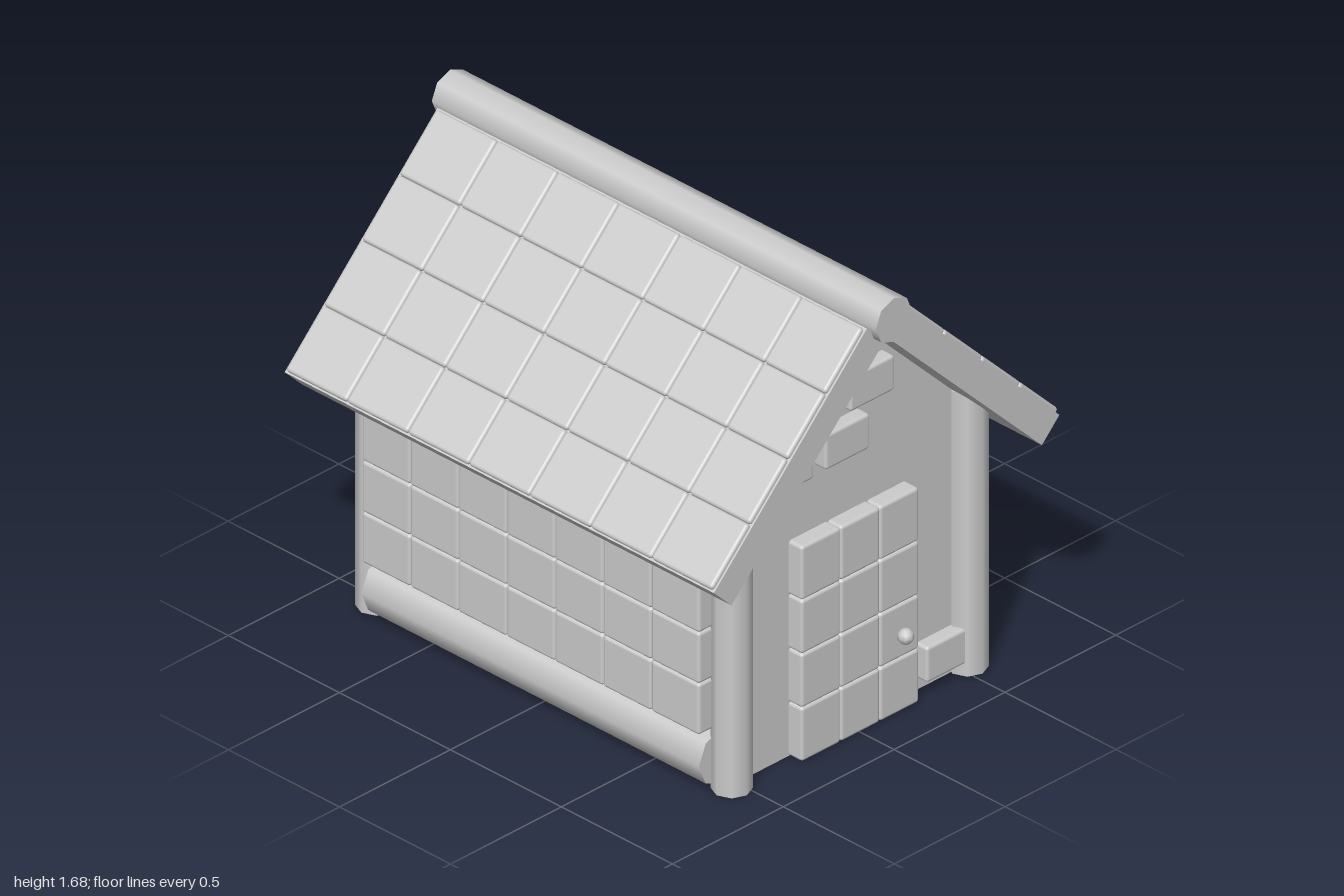
import * as THREE from 'three';
import { RoundedBoxGeometry } from 'three/addons/geometries/RoundedBoxGeometry.js';

const grey = new THREE.MeshStandardMaterial({ color: 0xcccccc });
const greyDouble = new THREE.MeshStandardMaterial({ color: 0xcccccc, side: THREE.DoubleSide });

function add(parent, name, geometry, x, y, z, material = grey) {
  const mesh = new THREE.Mesh(geometry, material);
  mesh.name = name;
  mesh.position.set(x, y, z);
  parent.add(mesh);
  return mesh;
}

// Panel of soft-edged blocks in the XY plane, depth along Z
function blockPanel(name, w, h, d, nx, ny) {
  const panel = new THREE.Group();
  panel.name = name;
  const bw = w / nx, bh = h / ny;
  const block = new RoundedBoxGeometry(bw, bh, d, 2, 0.012);
  for (let i = 0; i < nx; i++) {
    for (let j = 0; j < ny; j++) {
      add(panel, name + 'Block', block, (i + 0.5) * bw - w / 2, (j + 0.5) * bh - h / 2, 0);
    }
  }
  return panel;
}

// Eight-sided log lying along Z
function log(radius, length) {
  return new THREE.CylinderGeometry(radius, radius, length, 8).rotateX(Math.PI / 2);
}

export function createModel() {
  const house = new THREE.Group();
  house.name = 'house';

  // Gable walls, front and back
  const gable = new THREE.Shape([
    [-0.58, 0], [0.58, 0], [0.58, 0.97], [0, 1.55], [-0.58, 0.97],
  ].map(([x, y]) => new THREE.Vector2(x, y)));
  const gableGeometry = new THREE.ShapeGeometry(gable);
  add(house, 'frontWall', gableGeometry, 0, 0, 0.79, greyDouble);
  add(house, 'backWall', gableGeometry, 0, 0, -0.79, greyDouble).rotation.y = Math.PI;

  // Corner posts
  const post = new THREE.CylinderGeometry(0.068, 0.068, 1.05, 8);
  for (const x of [-0.532, 0.532]) {
    for (const z of [-0.8, 0.8]) add(house, 'cornerPost', post, x, 0.525, z);
  }

  for (const side of [1, -1]) {
    const name = side > 0 ? 'left' : 'right';

    // Side wall of blocks above a foundation log
    const wall = blockPanel(name + 'Wall', 1.52, 0.76, 0.1, 7, 4);
    wall.position.set(side * 0.59, 0.6, 0);
    wall.rotation.y = side * Math.PI / 2;
    house.add(wall);
    add(house, name + 'FoundationLog', log(0.105, 1.52), side * 0.535, 0.105, 0);

    // Roof half: slab with tiles, tilted 45 degrees
    const half = new THREE.Group();
    half.name = name + 'Roof';
    half.rotation.y = side > 0 ? 0 : Math.PI;
    const slope = new THREE.Group();
    slope.name = name + 'RoofSlope';
    slope.position.set(0.355, 1.165, 0);
    slope.rotation.z = -Math.PI / 4;
    add(slope, 'roofSlab', new THREE.BoxGeometry(0.976, 0.112, 1.934), 0, 0.056, 0);
    const tiles = blockPanel('roofTile', 0.964, 1.92, 0.06, 4, 7);
    tiles.rotation.x = -Math.PI / 2;
    tiles.position.y = 0.098;
    slope.add(tiles);
    half.add(slope);
    house.add(half);
  }

  // Ridge log
  add(house, 'ridgeLog', log(0.082, 2), 0, 1.597, 0);

  // Door and knob
  const door = blockPanel('door', 0.53, 0.8, 0.12, 3, 4);
  door.position.set(0, 0.4, 0.79);
  house.add(door);
  add(house, 'doorKnob', new THREE.SphereGeometry(0.028, 8, 6), 0.175, 0.295, 0.878);

  // Scattered bricks: centre x, y on each gable wall
  const brick = new RoundedBoxGeometry(0.2, 0.132, 0.1, 2, 0.012);
  const frontBricks = [[-0.19, 1.25], [0.065, 1.265], [-0.3, 1.09], [-0.047, 1.095], [0.41, 0.11]];
  const backBricks = [
    [0.31, 0.11], [0.095, 0.11], [-0.145, 0.11], [0.205, 0.28], [-0.005, 0.28],
    [-0.215, 0.725], [-0.35, 0.565], [-0.355, 0.885],
  ];
  for (const [x, y] of frontBricks) add(house, 'frontBrick', brick, x, y, 0.79);
  for (const [x, y] of backBricks) add(house, 'backBrick', brick, x, y, -0.79);

  return house;
}
